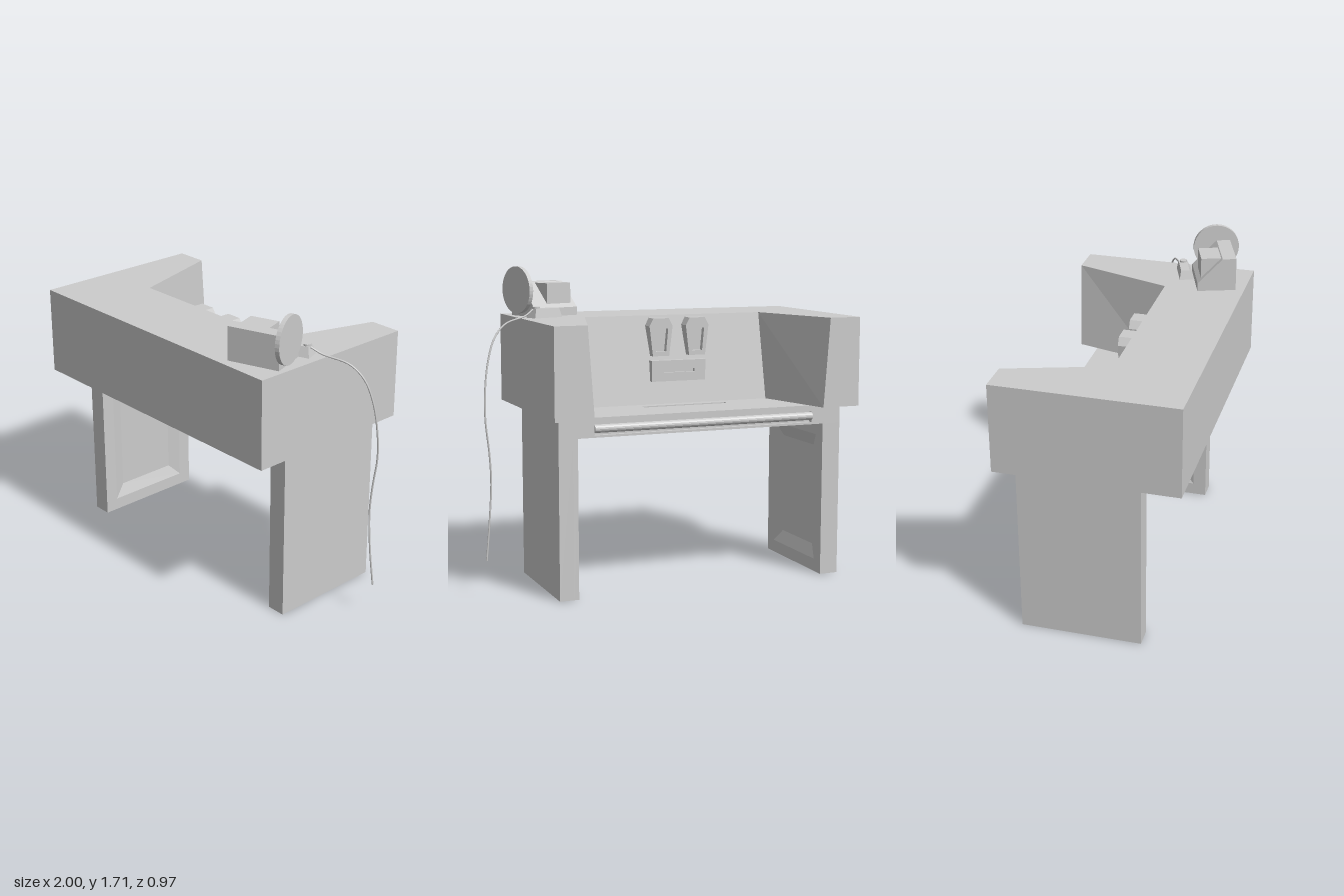
import * as THREE from 'three';

const material = new THREE.MeshStandardMaterial({ color: 0xcccccc, flatShading: true });

function add(parent, name, geometry, x = 0, y = 0, z = 0) {
  const mesh = new THREE.Mesh(geometry, material);
  mesh.name = name;
  mesh.position.set(x, y, z);
  parent.add(mesh);
  return mesh;
}

// Box given by its limits on each axis
function boxBetween(parent, name, x0, x1, y0, y1, z0, z1) {
  return add(parent, name, new THREE.BoxGeometry(x1 - x0, y1 - y0, z1 - z0),
    (x0 + x1) / 2, (y0 + y1) / 2, (z0 + z1) / 2);
}

const outline = (points) => points.map(([x, y]) => new THREE.Vector2(x, y));
const rect = (x0, x1, y0, y1) => [[x0, y0], [x1, y0], [x1, y1], [x0, y1]];

// Plate of a given depth along z with an optional hole
function plate(points, hole, depth) {
  const shape = new THREE.Shape(outline(points));
  if (hole) shape.holes.push(new THREE.Path(outline(hole)));
  return new THREE.ExtrudeGeometry(shape, { depth, bevelEnabled: false });
}

// Applies a rule to every vertex, then refreshes the normals
function reshape(geometry, rule) {
  const pos = geometry.attributes.position;
  const v = new THREE.Vector3();
  for (let i = 0; i < pos.count; i++) {
    rule(v.fromBufferAttribute(pos, i));
    pos.setXYZ(i, v.x, v.y, v.z);
  }
  geometry.computeVertexNormals();
  return geometry;
}

// U-shaped counter whose recess walls lean inward toward the floor
function counterGeometry() {
  const g = plate([
    [-1, -0.487], [0.738, -0.487], [0.738, 0.487], [0.56, 0.487],
    [0.39, -0.05], [-0.65, -0.05], [-0.82, 0.487], [-1, 0.487],
  ], null, 0.485);
  g.rotateX(-Math.PI / 2);
  return reshape(g, (v) => {
    if (v.y > 0.2) return;
    const side = Math.sign(v.x + 0.13);
    if (Math.abs(v.z - 0.05) < 0.01) {
      v.z = -0.02;
      v.x += side * 0.017;
    } else if (v.z < -0.4 && Math.abs(v.x + 0.13) < 0.8) {
      v.x -= side * 0.035;
    }
  });
}

// Leg slab with a bevelled sunken panel on its inner face
function addLeg(parent, name, x, turn) {
  const leg = new THREE.Group();
  leg.name = name;
  leg.position.set(x, 0, -0.055);
  leg.rotation.y = turn;
  parent.add(leg);
  boxBetween(leg, 'legSlab', -0.325, 0.325, 0, 0.86, 0, 0.08);
  const frame = plate(rect(-0.325, 0.325, 0, 0.86), rect(-0.25, 0.25, 0.07, 0.78), 0.025);
  reshape(frame, (v) => {
    const inHole = Math.abs(v.x) < 0.3;
    if (inHole && v.z < 0.01) {
      v.x *= 0.72;
      v.y = 0.425 + (v.y - 0.425) * 0.8;
    }
  });
  add(leg, 'legPanelFrame', frame, 0, 0, 0.08);
}

// Small desk machine: sloped housing, raised block, disc and foot pad
function addMachine(parent) {
  const machine = new THREE.Group();
  machine.name = 'deskMachine';
  machine.position.set(0.54, 1.44, 0.294);
  machine.rotation.y = 0.33;
  parent.add(machine);

  const housing = plate([
    [-0.106, 0], [0.106, 0], [0.106, 0.183], [0.03, 0.183], [-0.106, 0.045],
  ], null, 0.286);
  housing.rotateY(-Math.PI / 2);
  add(machine, 'machineHousing', housing, 0.143, 0, 0);
  boxBetween(machine, 'raisedBlock', -0.115, 0.045, 0.03, 0.178, -0.085, 0.028);

  const disc = new THREE.CylinderGeometry(0.128, 0.128, 0.024, 40);
  disc.rotateZ(Math.PI / 2);
  add(machine, 'sideDisc', disc, 0.157, 0.142, 0.03);

  const pad = reshape(new THREE.BoxGeometry(0.18, 0.05, 0.08), (v) => {
    if (v.y > 0) {
      v.x *= 0.85;
      v.z = v.z * 0.6 - 0.008;
    }
  });
  add(machine, 'footPad', pad, 0.11, 0.025, -0.148);
  add(machine, 'padKnob', new THREE.CylinderGeometry(0.02, 0.02, 0.012, 16), 0.168, 0.054, -0.155);
}

export function createModel() {
  const model = new THREE.Group();
  model.name = 'controlDesk';

  add(model, 'counter', counterGeometry(), 0, 0.955, 0);

  // Table top with a long slot in the recess floor
  const floor = plate(rect(-0.945, 0.685, -0.27, 0.38), rect(-0.38, 0.11, 0.08, 0.12), 0.025);
  floor.rotateX(-Math.PI / 2);
  add(model, 'recessFloor', floor, 0, 0.93, 0);
  boxBetween(model, 'tableCore', -0.945, 0.685, 0.85, 0.93, -0.355, 0.27);

  // Rear edge channel holding a round rail
  add(model, 'rearChannel',
    plate(rect(-0.945, 0.685, 0.85, 0.93), rect(-0.77, 0.49, 0.862, 0.922), 0.025), 0, 0, -0.38);
  const rail = new THREE.CylinderGeometry(0.022, 0.022, 1.26, 16);
  rail.rotateZ(Math.PI / 2);
  add(model, 'rearRail', rail, -0.14, 0.896, -0.375);

  addLeg(model, 'rightLeg', -0.945, Math.PI / 2);
  addLeg(model, 'leftLeg', 0.685, -Math.PI / 2);

  // Pair of hooded holders on the recess wall
  for (const x of [-0.24, -0.025]) {
    const holder = new THREE.Group();
    holder.name = 'wallHolder';
    holder.position.set(x, 1.325, -0.025);
    model.add(holder);
    add(holder, 'holderFrame', plate(
      [[-0.048, -0.105], [0.048, -0.105], [0.068, 0.06], [0.045, 0.102], [-0.045, 0.102], [-0.068, 0.06]],
      [[-0.03, -0.08], [0.03, -0.08], [0.042, 0.045], [-0.042, 0.045]], 0.07));
    boxBetween(holder, 'holderBack', -0.045, 0.045, -0.09, 0.06, 0.03, 0.065);
  }

  // Slotted plate below the holders
  add(model, 'slotPlate',
    plate(rect(-0.29, 0.03, 1.08, 1.195), rect(-0.225, -0.035, 1.128, 1.146), 0.04), 0, 0, -0.025);
  boxBetween(model, 'slotBack', -0.25, 0, 1.11, 1.16, -0.005, 0.015);

  addMachine(model);

  // Cord falling from the machine over the side
  const cordPath = new THREE.CatmullRomCurve3([
    [0.67, 1.485, 0.09], [0.72, 1.455, 0.06], [0.85, 1.42, -0.005], [0.92, 1.35, -0.04],
    [0.963, 1.23, -0.065], [0.985, 1.08, -0.08], [0.988, 0.93, -0.088], [0.968, 0.75, -0.082],
    [0.96, 0.6, -0.078], [0.972, 0.4, -0.08], [0.994, 0.18, -0.09],
  ].map((p) => new THREE.Vector3(...p)));
  add(model, 'cord', new THREE.TubeGeometry(cordPath, 60, 0.005, 6, false)).material =
    new THREE.MeshStandardMaterial({ color: 0xcccccc, side: THREE.DoubleSide });

  return model;
}
